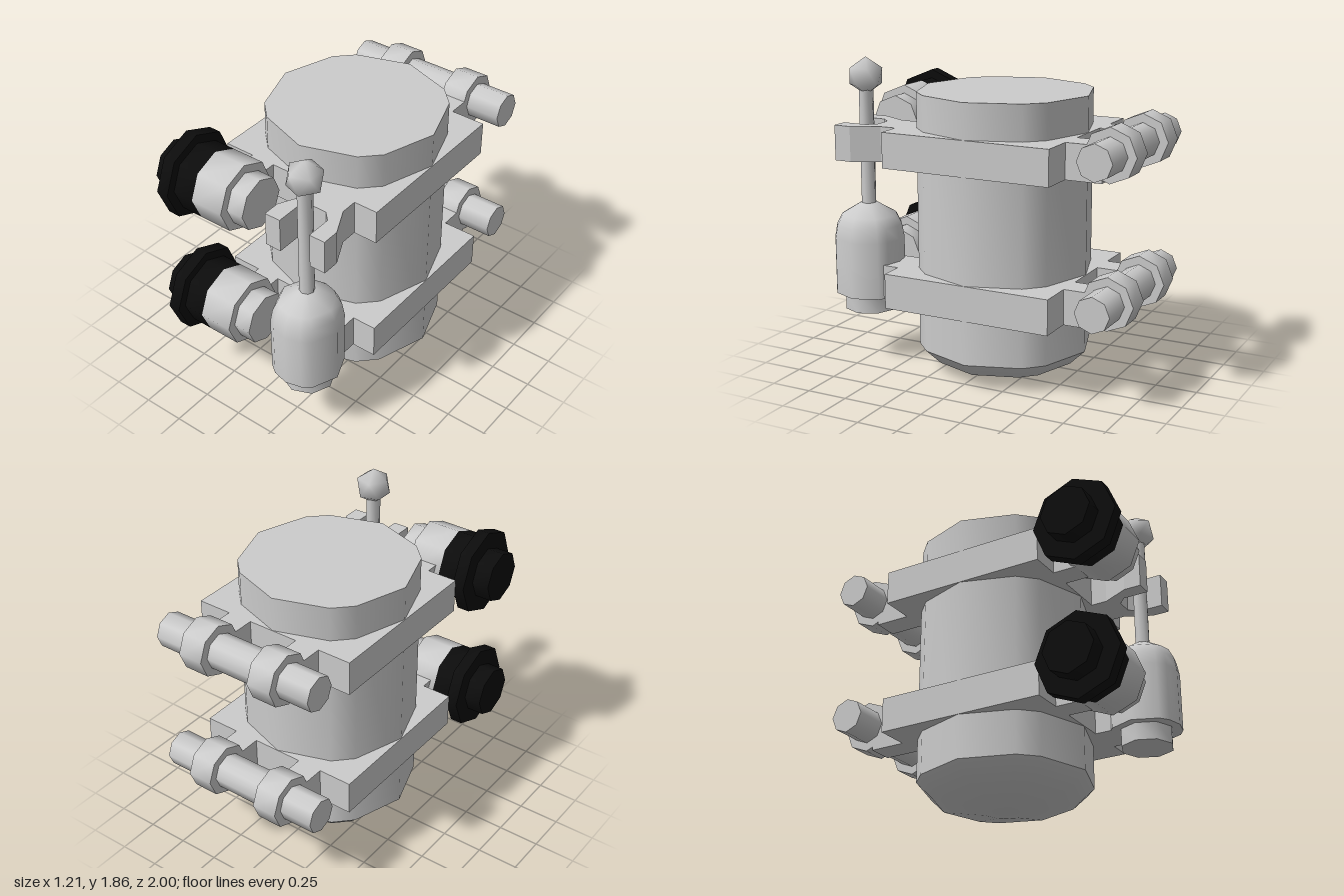
import * as THREE from 'three';
import { mergeVertices, toCreasedNormals } from 'three/addons/utils/BufferGeometryUtils.js';

const grey = new THREE.MeshStandardMaterial({ color: 0xcccccc });
const black = new THREE.MeshStandardMaterial({ color: 0x0c0c0c });
const deg = Math.PI / 180;

// Corner angles over a full turn, from the ones between 0 and 90 degrees
function ringAngles(between) {
  const half = [0, ...between, 90, ...between.map((a) => 180 - a).reverse()];
  return [...half, ...half.map((a) => a + 180), 360];
}
const OCTAGON = ringAngles([45]);

// Turned solid with sharp ends and smooth sides; profile is [radius, height] from the bottom up
function turned(profile, angles = OCTAGON) {
  const pts = profile.map(([r, y]) => new THREE.Vector2(r, y));
  const geo = new THREE.LatheGeometry(pts, angles.length - 1);
  const pos = geo.attributes.position;
  for (let i = 0; i < pos.count; i++) {
    const [r, y] = profile[i % profile.length];
    const a = angles[Math.floor(i / profile.length)] * deg;
    pos.setXYZ(i, r * Math.sin(a), y, r * Math.cos(a));
  }
  return toCreasedNormals(geo, 0.9);
}

const drum = (r, y0, y1, angles) => turned([[0, y0], [r, y0], [r, y1], [0, y1]], angles);

function add(group, name, geo, x = 0, y = 0, z = 0, material = grey) {
  const mesh = new THREE.Mesh(geo, material);
  mesh.name = name;
  mesh.position.set(x, y, z);
  group.add(mesh);
  return mesh;
}

// Drum lying along x between x0 and x1
function crossDrum(group, name, r, x0, x1, y, z, material) {
  add(group, name, drum(r, x0, x1).rotateZ(-Math.PI / 2), 0, y, z, material);
}

// Box given by its limits
function block(group, name, x0, x1, y0, y1, z0, z1) {
  const geo = new THREE.BoxGeometry(x1 - x0, y1 - y0, z1 - z0);
  add(group, name, geo, (x0 + x1) / 2, (y0 + y1) / 2, (z0 + z1) / 2);
}

export function createModel() {
  const model = new THREE.Group();
  const cx = 0.077, cz = -0.055;
  const bandHalf = 0.105;
  const leverX = 0.335, leverZ = 0.74;

  // Tank wall and shallow rounded bottom
  const tankAngles = ringAngles([37, 53]);
  add(model, 'tank', drum(0.523, 0.16, 1.685, tankAngles), cx, 0, cz);
  add(model, 'tankBottom',
    turned([[0, 0], [0.14, 0.003], [0.43, 0.07], [0.523, 0.16]], tankAngles), cx, 0, cz);

  // Two clamps, each with a hinge at the back and a knob at the front
  for (const [name, y] of [['lower', 0.53], ['upper', 1.37]]) {
    const clamp = new THREE.Group();
    clamp.name = name + 'Clamp';
    model.add(clamp);
    const y0 = y - bandHalf, y1 = y + bandHalf, axis = y + 0.055;
    block(clamp, 'bandPlate', -0.448, 0.602, y0, y1, -0.58, 0.47);

    // Hinge
    crossDrum(clamp, 'hingeRod', 0.105, -0.448, 0.602, axis, -0.843);
    for (const [x0, x1] of [[-0.24, -0.085], [0.235, 0.39]]) {
      crossDrum(clamp, 'hingeRing', 0.157, x0, x1, axis, -0.843);
      block(clamp, 'hingeArm', x0, x1, y0, y1, -0.8, -0.57);
    }

    // Knob and its fitting
    block(clamp, 'knobArm', -0.26, -0.11, y0, y1, 0.46, 0.65);
    crossDrum(clamp, 'fittingEnd', 0.157, -0.085, 0.022, axis, 0.735);
    crossDrum(clamp, 'fittingBody', 0.208, -0.293, -0.085, axis, 0.735);
    crossDrum(clamp, 'knobCollar', 0.208, -0.425, -0.293, axis, 0.735, black);
    crossDrum(clamp, 'knobRim', 0.262, -0.5, -0.425, axis, 0.735, black);
    crossDrum(clamp, 'knobEnd', 0.157, -0.605, -0.5, axis, 0.735, black);
  }

  // Open fork on the upper clamp
  const side = [[0.12, 0.46], [0.12, 0.57], [0.2, 0.73], [0.2, 0.835],
    [0.1, 0.835], [0.1, 0.68], [0.05, 0.63]];
  const outline = [...side, ...side.map(([x, z]) => [-x, z]).reverse()];
  const fork = new THREE.ExtrudeGeometry(
    new THREE.Shape(outline.map(([x, z]) => new THREE.Vector2(x, -z))),
    { depth: 2 * bandHalf, bevelEnabled: false });
  add(model, 'fork', fork.rotateX(-Math.PI / 2), leverX, 1.265, 0);

  // Closed holder on the lower clamp
  block(model, 'holderNeck', 0.215, 0.455, 0.425, 0.635, 0.46, 0.6);
  add(model, 'holder', drum(0.207, 0.427, 0.635), leverX, 0, leverZ);

  // Lever: cap, rounded body, stem and ball
  const lever = new THREE.Group();
  lever.name = 'lever';
  lever.position.set(leverX, 0, leverZ);
  model.add(lever);
  add(lever, 'leverCap', drum(0.157, 0.32, 0.43));
  add(lever, 'leverBody', turned(
    [[0, 0.425], [0.21, 0.425], [0.21, 0.77], [0.195, 0.85], [0.165, 0.91], [0.05, 0.98], [0, 0.985]],
    ringAngles([27, 45])));
  add(lever, 'leverStem', drum(0.044, 0.95, 1.72));
  let ball = new THREE.IcosahedronGeometry(0.113, 0);
  ball.deleteAttribute('normal');
  ball.deleteAttribute('uv');
  ball = mergeVertices(ball);
  ball.computeVertexNormals();
  ball.rotateX(-Math.atan((1 + Math.sqrt(5)) / 2)).rotateY(-Math.PI / 2);
  add(lever, 'leverBall', ball, 0, 1.745, 0);

  return model;
}
